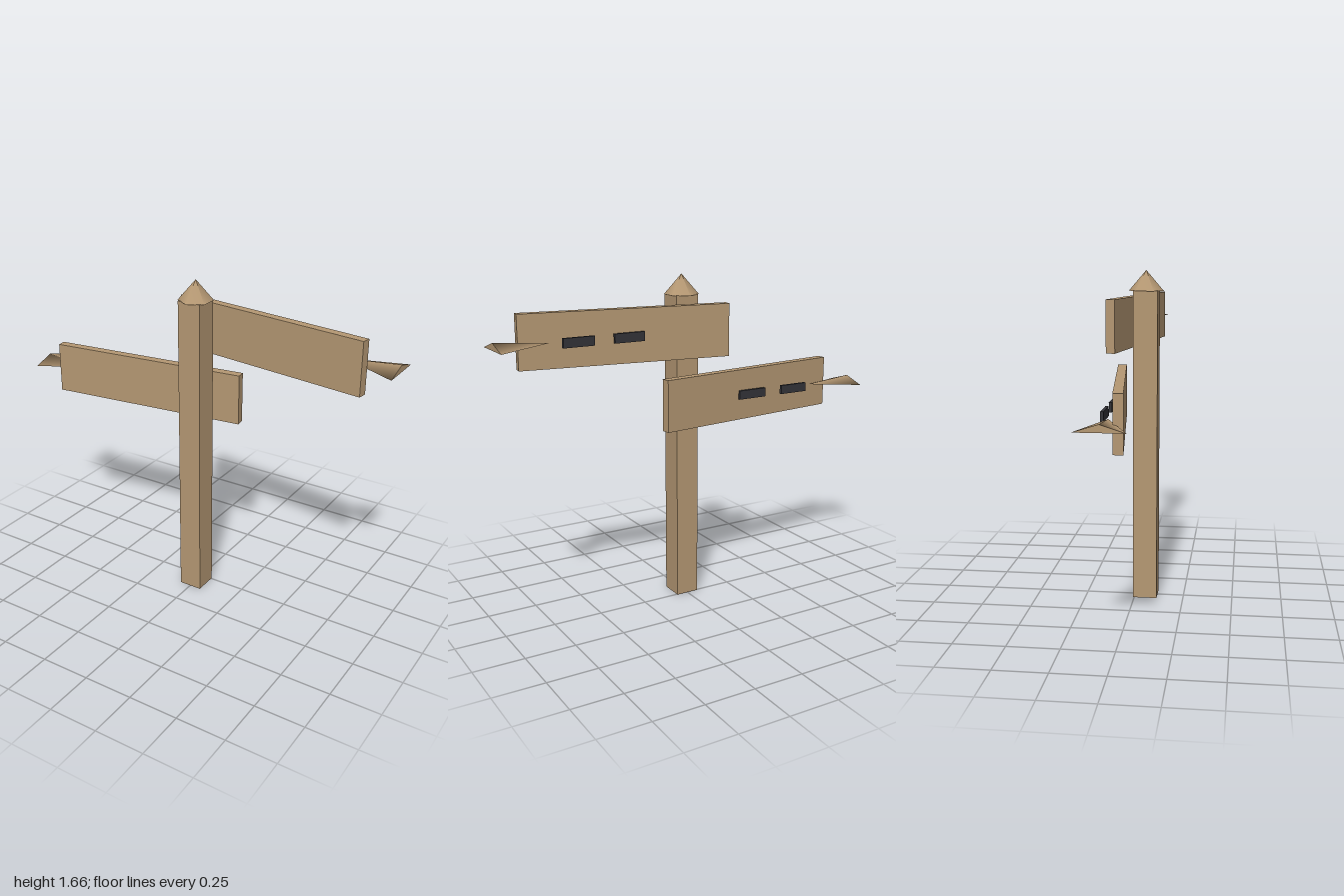
import * as THREE from 'three';

export function createModel() {
  const wood = new THREE.MeshStandardMaterial({ color: 0xb59873 });
  wood.name = 'wood';
  const dark = new THREE.MeshStandardMaterial({ color: 0x333338 });
  dark.name = 'dark paint';

  const model = new THREE.Group();
  model.name = 'signpost';

  const add = (parent, name, geometry, material, x, y, z) => {
    const mesh = new THREE.Mesh(geometry, material);
    mesh.name = name;
    mesh.position.set(x, y, z);
    parent.add(mesh);
    return mesh;
  };

  // Square post with a six-sided pointed cap
  add(model, 'post', new THREE.BoxGeometry(0.12, 1.562, 0.12), wood, 0, 0.781, 0.055);
  add(model, 'postCap', new THREE.ConeGeometry(0.086, 0.1, 6), wood, 0, 1.61, 0.053);

  // A board behind the post, its flattened arrow tip and two dark dashes on the back
  const addSign = (name, side, boardY, boardZ, angle, arrowY) => {
    const sign = new THREE.Group();
    sign.name = name;
    model.add(sign);

    const board = add(sign, 'board', new THREE.BoxGeometry(1.04, 0.258, 0.045), wood,
      side * 0.346, boardY, boardZ);
    board.rotation.y = -side * THREE.MathUtils.degToRad(angle);

    const tip = new THREE.ConeGeometry(0.13, 0.265, 3)
      .rotateY(side * Math.PI / 2)
      .rotateZ(side * Math.PI / 2)
      .scale(1, 0.18, 1);
    add(sign, 'arrowTip', tip, wood, side * 0.8675, arrowY, -0.029);

    for (const x of [0.348, 0.606]) {
      add(sign, 'dash', new THREE.BoxGeometry(0.156, 0.045, 0.015), dark, side * x, arrowY, -0.065);
    }
  };

  addSign('upperSign', 1, 1.395, -0.027, 8.3, 1.392);
  addSign('lowerSign', -1, 1.046, -0.029, 6.5, 1.046);

  return model;
}
